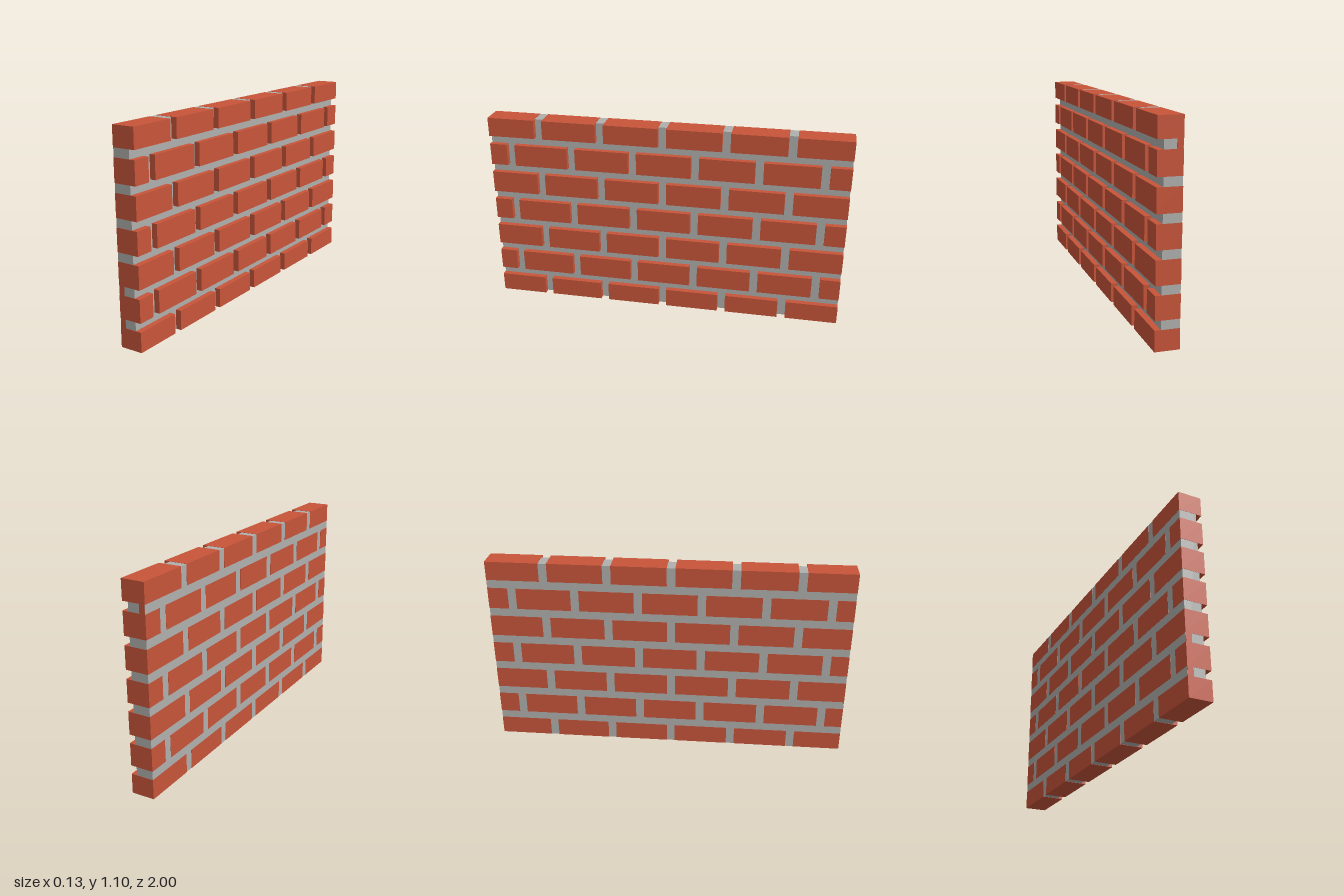
import * as THREE from 'three';

const BACK = -0.0635, FRONT = 0.0625, MORTAR_FRONT = 0.031;
const HEIGHT = 1.1, ROWS = 7, ROW_PITCH = 0.1683, BRICK_H = 0.122;
const JOINT = 0.046, JOINT_PITCH = 0.349;

export function createModel() {
  const wall = new THREE.Group();
  wall.name = 'brickWall';
  const brickMat = new THREE.MeshStandardMaterial({ color: 0xc8553a, flatShading: true });
  const mortarMat = new THREE.MeshStandardMaterial({ color: 0xb0b0ae, flatShading: true });

  // Box given by its lower and upper limits on each axis
  function block(name, mat, x0, x1, y0, y1, z0, z1) {
    const mesh = new THREE.Mesh(new THREE.BoxGeometry(x1 - x0, y1 - y0, z1 - z0), mat);
    mesh.position.set((x0 + x1) / 2, (y0 + y1) / 2, (z0 + z1) / 2);
    mesh.name = name;
    wall.add(mesh);
  }

  // Mortar core, nearly flush with the back, ends, top and bottom
  block('mortar', mortarMat, BACK + 0.001, MORTAR_FRONT, 0.001, HEIGHT - 0.001, -0.999, 0.999);

  // Courses in running bond; the outer two are cut lower
  for (let row = 0; row < ROWS; row++) {
    const centre = 0.045 + row * ROW_PITCH;
    const y0 = Math.max(0, centre - BRICK_H / 2);
    const y1 = Math.min(HEIGHT, centre + BRICK_H / 2);
    const first = row % 2 ? 0.88 : 0.7125;
    let zTop = 1;
    for (let joint = first; joint > -1; joint -= JOINT_PITCH) {
      block('brick', brickMat, BACK, FRONT, y0, y1, joint + JOINT / 2, zTop);
      zTop = joint - JOINT / 2;
    }
    block('brick', brickMat, BACK, FRONT, y0, y1, -1, zTop);
  }

  // Small brick fillers closing the back of the end joints
  for (const [row, end] of [[0, 1], [1, 1], [5, -1]]) {
    const y0 = 0.045 + row * ROW_PITCH + BRICK_H / 2;
    const zs = end > 0 ? [0.99, 1] : [-1, -0.99];
    block('endFiller', brickMat, BACK + 0.002, -0.031, y0, y0 + ROW_PITCH - BRICK_H, ...zs);
  }
  return wall;
}
